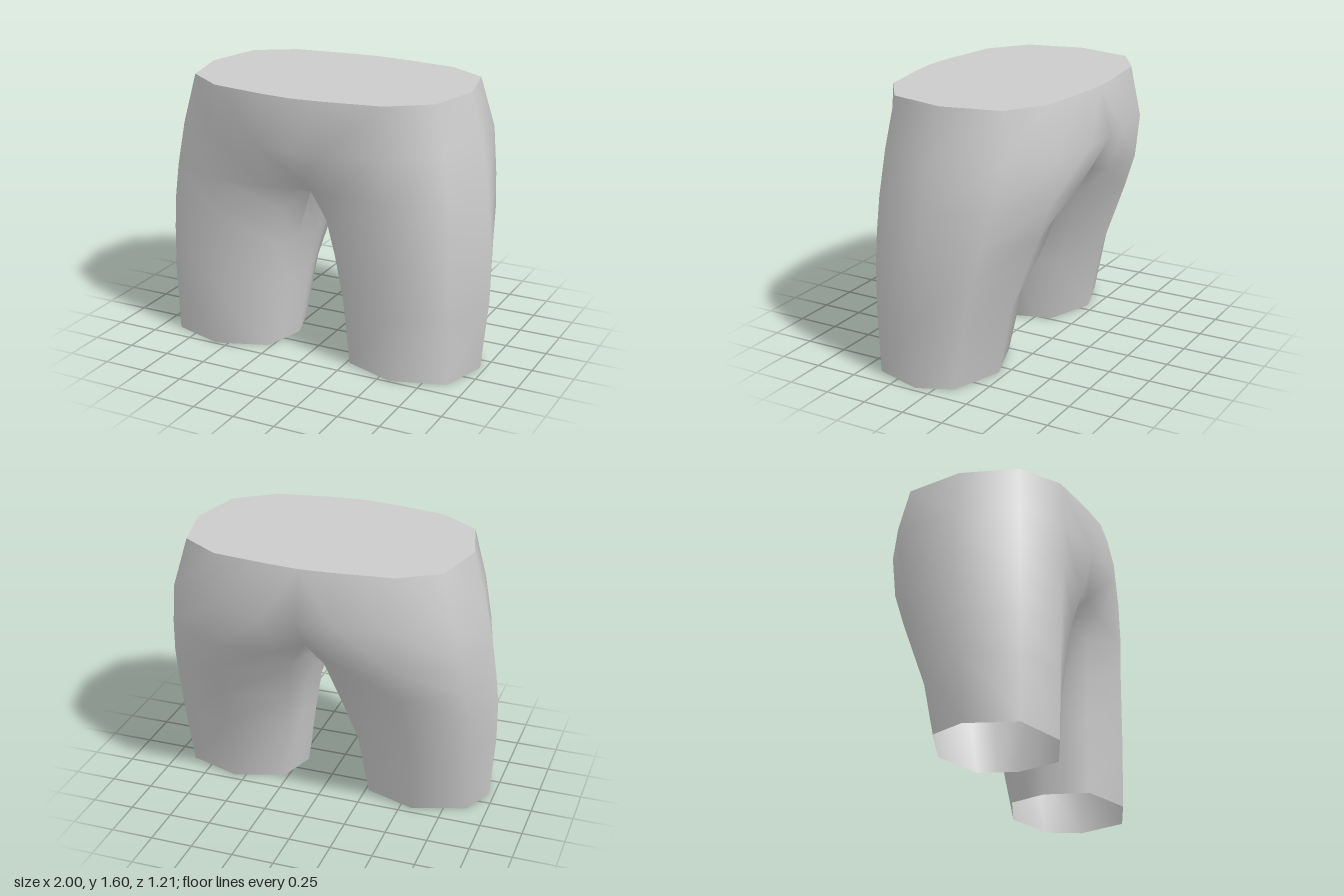
import * as THREE from 'three';
import { mergeVertices, toCreasedNormals } from 'three/addons/utils/BufferGeometryUtils.js';

const mid = (a, b) => a.map((v, i) => (v + b[i]) / 2);

// Leg ring: inner-front corner round the outside to inner-back corner, then the inner edge.
// Points are [x, z] at height y, or [x, z, own y].
function legRing(y, outer, inner) {
  const o = outer.map(([x, z, h = y]) => [x, h, z]);
  const i = [inner[0], y, inner[1]];
  return [mid(i, o[0]), ...o, mid(i, o[6]), i];
}

// Hip ring: open half loop from front centre to back centre.
const hipRing = (y, pts) => pts.map(([x, z, h = y]) => [x, h, z]);

const legRings = [
  legRing(0, [[0.27, 0.38], [0.57, 0.49], [0.88, 0.39], [0.97, 0.1], [0.88, -0.1], [0.57, -0.205], [0.27, -0.1]], [0.2, 0.12]),
  legRing(0.4, [[0.23, 0.39], [0.57, 0.5], [0.89, 0.4], [1, 0.07], [0.9, -0.17], [0.57, -0.285], [0.22, -0.17]], [0.14, 0.1]),
  legRing(0.66, [[0.19, 0.41], [0.56, 0.505], [0.885, 0.4], [1, 0.06], [0.9, -0.23], [0.56, -0.38], [0.17, -0.28]], [0.095, 0.08]),
];
// Crotch ring, whose last point is the lowest point between the legs
const crotchRing = hipRing(0.85, [
  [0, 0.34, 1], [0.14, 0.43, 0.9], [0.55, 0.51], [0.88, 0.39], [0.98, 0.05], [0.89, -0.28],
  [0.55, -0.45], [0.14, -0.36, 0.9], [0, -0.27, 1], [0, 0.08, 0.92],
]);
const hipRings = [
  hipRing(1.05, [[0, 0.48, 1.11], [0.18, 0.505], [0.54, 0.52], [0.86, 0.38], [0.955, 0.03], [0.87, -0.32], [0.54, -0.515], [0.18, -0.5], [0, -0.46, 1.11]]),
  hipRing(1.31, [[0, 0.605], [0.2, 0.585], [0.52, 0.52], [0.82, 0.36], [0.905, 0.01], [0.83, -0.37], [0.52, -0.55], [0.2, -0.59], [0, -0.605]]),
  hipRing(1.6, [[0, 0.575], [0.2, 0.555], [0.52, 0.5], [0.75, 0.335], [0.83, 0], [0.75, -0.34], [0.52, -0.485], [0.2, -0.525], [0, -0.54]]),
];

// Collects triangles on both sides of the mirror plane.
function mirroredGeometry(triangles) {
  const flip = ([x, y, z]) => [-x, y, z];
  const pos = [];
  for (const [a, b, c] of triangles) {
    pos.push(...a, ...b, ...c, ...flip(a), ...flip(c), ...flip(b));
  }
  const geo = new THREE.BufferGeometry();
  geo.setAttribute('position', new THREE.Float32BufferAttribute(pos, 3));
  return geo;
}

function bridge(low, high, closed) {
  const tris = [];
  const n = closed ? low.length : 9;
  const steps = closed ? n : n - 1;
  for (let i = 0; i < steps; i++) {
    const j = (i + 1) % n;
    tris.push([low[i], low[j], high[j]], [low[i], high[j], high[i]]);
  }
  return tris;
}

export function createModel() {
  const group = new THREE.Group();
  group.name = 'shorts';
  const material = new THREE.MeshStandardMaterial({ color: 0xcccccc, side: THREE.DoubleSide });

  // Legs and hips in one smooth skin, open at the leg ends
  const legs = [...legRings, crotchRing];
  const skin = [];
  for (let r = 0; r < legs.length - 1; r++) skin.push(...bridge(legs[r], legs[r + 1], true));
  const hips = [crotchRing, ...hipRings];
  for (let r = 0; r < hips.length - 1; r++) skin.push(...bridge(hips[r], hips[r + 1], false));
  const body = new THREE.Mesh(toCreasedNormals(mergeVertices(mirroredGeometry(skin)), 1.2), material);
  body.name = 'legsAndHips';
  group.add(body);

  // Flat lid closing the waist
  const rim = hipRings[hipRings.length - 1];
  const lid = rim.slice(1).map((p, i) => [[0, 1.6, 0], rim[i], p]);
  const lidGeo = mirroredGeometry(lid);
  lidGeo.computeVertexNormals();
  const waist = new THREE.Mesh(lidGeo, material);
  waist.name = 'waistLid';
  group.add(waist);

  return group;
}
